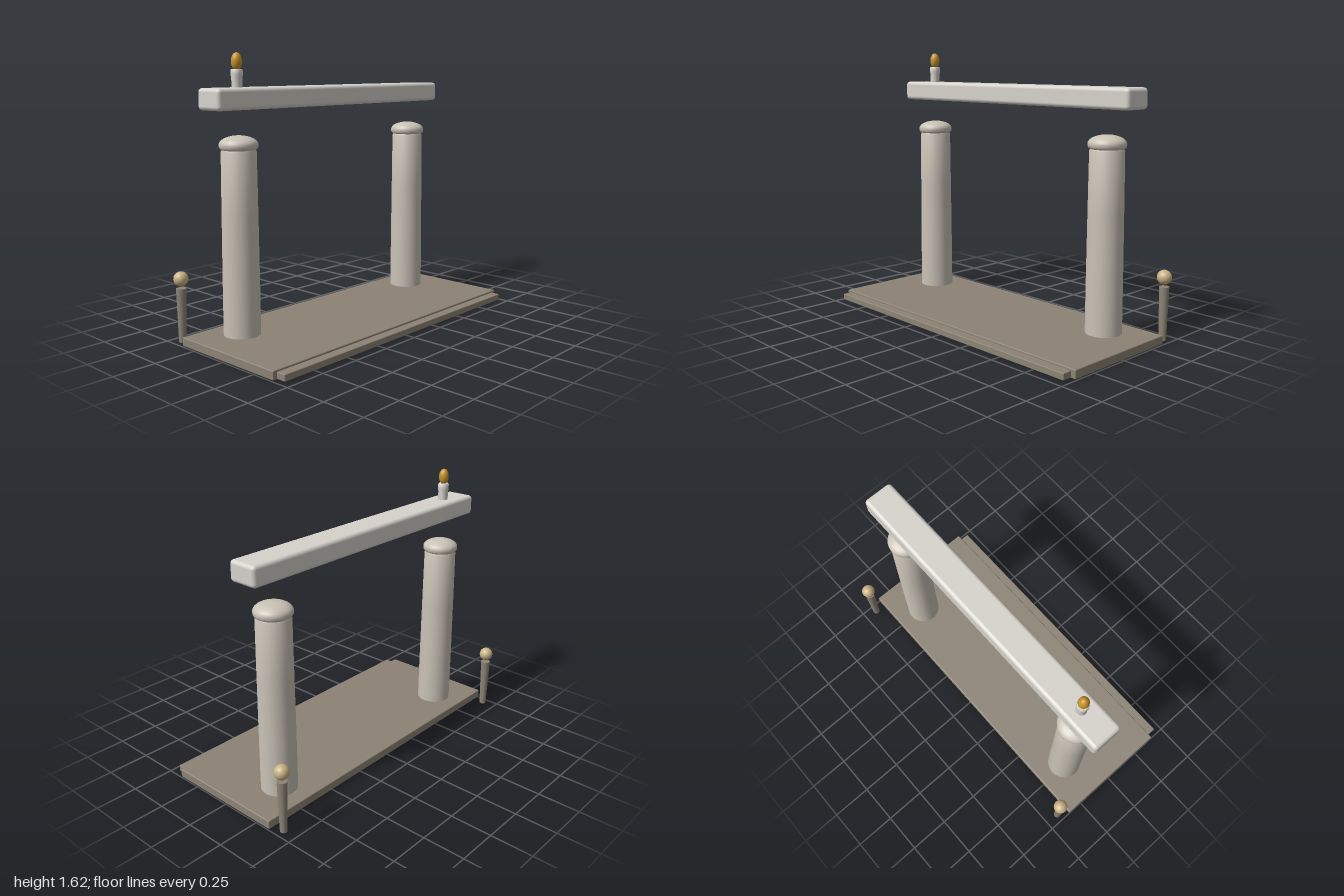
import * as THREE from 'three';
import { RoundedBoxGeometry } from 'three/addons/geometries/RoundedBoxGeometry.js';
import { toCreasedNormals } from 'three/addons/utils/BufferGeometryUtils.js';

const mat = (color) => new THREE.MeshStandardMaterial({ color });
const stone = mat(0xc9c2b6);
const paleStone = mat(0xd6d3cc);
const slab = mat(0x8c8375);
const brass = mat(0xcbb285);
const gold = mat(0xc8942a);

function add(parent, name, geometry, material, x = 0, y = 0, z = 0) {
  const mesh = new THREE.Mesh(geometry, material);
  mesh.name = name;
  mesh.position.set(x, y, z);
  parent.add(mesh);
  return mesh;
}

function lathe(points, segments = 40) {
  const profile = points.map(([r, y]) => new THREE.Vector2(r, y));
  return toCreasedNormals(new THREE.LatheGeometry(profile, segments), 0.6);
}

// Box given by its limits on each axis, with softened edges
function slabBox(parent, name, [x0, x1], [y0, y1], [z0, z1], radius, material) {
  const geometry = new RoundedBoxGeometry(x1 - x0, y1 - y0, z1 - z0, 3, radius);
  return add(parent, name, geometry, material, (x0 + x1) / 2, (y0 + y1) / 2, (z0 + z1) / 2);
}

export function createModel() {
  const model = new THREE.Group();
  model.name = 'gateway';

  // Floor slab with a lower front step
  slabBox(model, 'platform', [-1, 1], [0.008, 0.06], [-0.352, 0.397], 0.006, slab);
  slabBox(model, 'frontStep', [-0.972, 0.97], [0.009, 0.048], [0.35, 0.453], 0.005, slab);

  // Tapered shaft, its foot just showing under the slab
  const shaft = lathe([
    [0, 0.003], [0.05, 0.007], [0.09, 0.012], [0.105, 0.03], [0.105, 0.06],
    [0.104, 0.35], [0.101, 0.75], [0.098, 1.09], [0.092, 1.105], [0, 1.105],
  ]);

  // Ring and shallow dome
  const dome = [[0, 1.1], [0.09, 1.1], [0.101, 1.106], [0.107, 1.116], [0.108, 1.13]];
  for (let i = 1; i <= 8; i++) {
    const a = (i / 8) * Math.PI / 2;
    dome.push([Math.cos(a) * 0.108, 1.13 + Math.sin(a) * 0.05]);
  }
  dome[dome.length - 1][0] = 0;
  const cap = lathe(dome);

  const post = new THREE.CylinderGeometry(0.029, 0.021, 0.312, 20);
  const ball = new THREE.SphereGeometry(0.042, 24, 16);

  for (const side of [-1, 1]) {
    const label = side > 0 ? 'left' : 'right';

    const column = new THREE.Group();
    column.name = label + 'Column';
    column.position.set(side * 0.732, 0, -0.155);
    add(column, 'shaft', shaft, stone);
    add(column, 'cap', cap, stone);

    // Short rear post with a floating ball
    const marker = new THREE.Group();
    marker.name = label + 'RearPost';
    marker.position.set(side * 0.953, 0, -0.415);
    add(marker, 'post', post, slab, 0, 0.163, 0);
    add(marker, 'ball', ball, brass, 0, 0.374, 0);

    model.add(column, marker);
  }

  // Floating lintel
  slabBox(model, 'lintel', [-0.934, 0.934], [1.32, 1.438], [-0.247, -0.065], 0.022, paleStone);

  // Candle standing on the lintel
  const candle = new THREE.Group();
  candle.name = 'candle';
  candle.position.set(-0.733, 0, -0.157);
  add(candle, 'wax', lathe([
    [0, 1.42], [0.03, 1.42], [0.03, 1.485], [0.033, 1.505], [0.033, 1.53], [0.029, 1.537], [0, 1.537],
  ], 24), paleStone);
  add(candle, 'flame', new THREE.SphereGeometry(0.03, 20, 16), gold, 0, 1.578, 0).scale.y = 1.6;
  model.add(candle);

  return model;
}
